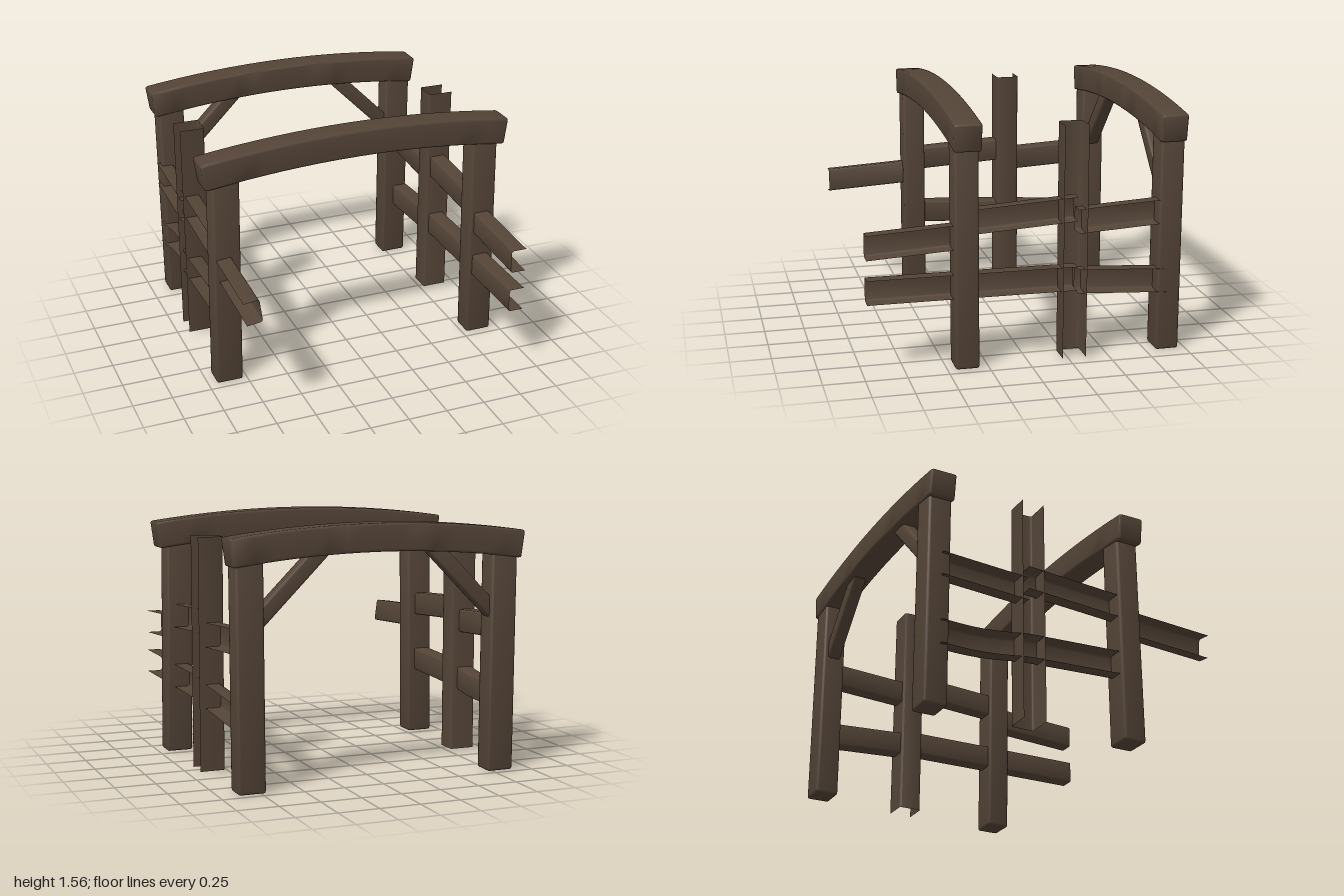
import * as THREE from 'three';
import { toCreasedNormals } from 'three/addons/utils/BufferGeometryUtils.js';

const wood = new THREE.MeshStandardMaterial({ color: 0x544437, side: THREE.DoubleSide });
wood.name = 'darkWood';

function addMesh(parent, name, geometry, crease = 1.0) {
  const mesh = new THREE.Mesh(toCreasedNormals(geometry, crease), wood);
  mesh.name = name;
  parent.add(mesh);
  return mesh;
}

// Squared timber with softened edges, centred, lying along z
function timber(w, h, length, steps = 1, b = 0.016) {
  const x = w / 2, y = h / 2, c = 0.016;
  const s = new THREE.Shape();
  s.moveTo(-x + c, -y);
  s.lineTo(x - c, -y);
  s.quadraticCurveTo(x, -y, x, -y + c);
  s.lineTo(x, y - c);
  s.quadraticCurveTo(x, y, x - c, y);
  s.lineTo(-x + c, y);
  s.quadraticCurveTo(-x, y, -x, y - c);
  s.lineTo(-x, -y + c);
  s.quadraticCurveTo(-x, -y, -x + c, -y);
  const g = new THREE.ExtrudeGeometry(s, {
    depth: length - 2 * b, steps, curveSegments: 3,
    bevelThickness: b, bevelSize: b * 0.7, bevelOffset: -b * 0.7, bevelSegments: 2,
  });
  return g.translate(0, 0, -length / 2 + b);
}

// Moves every vertex by a rule
function reshape(g, rule) {
  const p = g.attributes.position, v = new THREE.Vector3();
  for (let i = 0; i < p.count; i++) {
    rule(v.fromBufferAttribute(p, i));
    p.setXYZ(i, v.x, v.y, v.z);
  }
  return g;
}

// Open three-sided plank: one web and two flanges pointing along `out`
function channel(centres, out, across, width, depth) {
  const r = 0.012, w = width / 2;
  const profile = [[depth, w], [r, w], [r * 0.3, w - r * 0.3], [0, w - r],
    [0, -w + r], [r * 0.3, -w + r * 0.3], [r, -w], [depth, -w]];
  const rows = centres.map((c) => profile.map(([p, q]) => new THREE.Vector3(...c)
    .addScaledVector(out, p).addScaledVector(across, q)));
  const pos = [];
  for (let i = 0; i + 1 < rows.length; i++) {
    for (let j = 0; j + 1 < profile.length; j++) {
      const a = rows[i][j], b = rows[i][j + 1], c = rows[i + 1][j + 1], d = rows[i + 1][j];
      for (const v of [a, b, c, a, c, d]) pos.push(v.x, v.y, v.z);
    }
  }
  const g = new THREE.BufferGeometry();
  g.setAttribute('position', new THREE.Float32BufferAttribute(pos, 3));
  g.computeVertexNormals();
  return g;
}

// Two leaning posts carrying a bowed beam
function arch(name, { z, half, cx, top, sag, postX, lean, postTop }) {
  const group = new THREE.Group();
  group.name = name;
  const beam = timber(0.165, 0.168, half * 2, 16).rotateY(Math.PI / 2);
  reshape(beam, (v) => {
    const u = v.x, k = sag / (half * half), h = v.y;
    v.x = u + 2 * k * u * h + cx;
    v.y = top - 0.084 - k * u * u + h;
    v.z += z;
  });
  addMesh(group, 'bowedBeam', beam);
  for (const side of [1, -1]) {
    const post = timber(0.168, 0.145, postTop, 1).rotateX(-Math.PI / 2);
    reshape(post, (v) => {
      v.y += postTop / 2;
      v.x = side * (postX + lean * v.y) + v.x;
      v.z += z;
    });
    addMesh(group, side > 0 ? 'leftArchPost' : 'rightArchPost', post);
  }
  return group;
}

export function createModel() {
  const model = new THREE.Group();
  model.name = 'timberFrame';

  const front = arch('frontArch', {
    z: 0.38, half: 0.988, cx: 0, top: 1.56, sag: 0.07, postX: 0.862, lean: -0.011, postTop: 1.4,
  });
  const back = arch('backArch', {
    z: -0.885, half: 0.928, cx: -0.006, top: 1.54, sag: 0.066, postX: 0.804, lean: 0.007, postTop: 1.38,
  });
  model.add(front, back);

  // Diagonal braces under the back beam
  for (const side of [1, -1]) {
    const brace = addMesh(back, 'brace', timber(0.085, 0.095, 0.68).rotateY(Math.PI / 2));
    brace.rotation.z = -side * Math.PI / 4;
    brace.position.set(side * 0.565, 1.18, -0.885);
  }

  // Fences: rails given as name, start [z, y], end [z, y]
  const shared = [
    ['frontUpperRail', [0.965, 0.767], [0.36, 0.802]],
    ['middleUpperRail', [0.37, 0.882], [-0.305, 0.925]],
    ['rearUpperRail', [-0.31, 0.848], [-0.87, 0.88]],
  ];
  for (const side of [1, -1]) {
    const fence = new THREE.Group();
    fence.name = side > 0 ? 'leftFence' : 'rightFence';
    model.add(fence);

    const postX = side * 0.772;
    addMesh(fence, 'fencePost', channel([[postX, 0.01, -0.281], [postX, 1.44, -0.281]],
      new THREE.Vector3(side, 0, 0), new THREE.Vector3(0, 0, 1), 0.145, 0.158));

    const lower = side > 0
      ? [['frontLowerRail', [0.965, 0.497], [0.36, 0.497]],
        ['middleLowerRail', [0.37, 0.497], [-0.305, 0.495]],
        ['rearLowerRail', [-0.31, 0.477], [-0.87, 0.445]]]
      : [['middleLowerRail', [0.37, 0.506], [-0.305, 0.477]],
        ['rearLowerRail', [-0.31, 0.477], [-0.87, 0.445]]];

    for (const [name, [z0, y0], [z1, y1]] of [...shared, ...lower]) {
      // One rail is rolled over, another bows inward
      const roll = side < 0 && name === 'frontUpperRail' ? 0.13 : 0;
      const bow = side < 0 && name === 'rearLowerRail' ? 0.036 : 0;
      const inner = side > 0 ? 0.795 : 0.82;
      const centres = [];
      const n = bow ? 8 : 1;
      for (let i = 0; i <= n; i++) {
        const t = i / n;
        const x = inner - bow * Math.sin(Math.PI * t);
        centres.push([side * x, y0 + (y1 - y0) * t, z0 + (z1 - z0) * t]);
      }
      const out = new THREE.Vector3(side * Math.cos(roll), -Math.sin(roll), 0);
      const across = new THREE.Vector3(side * Math.sin(roll), Math.cos(roll), 0);
      addMesh(fence, name, channel(centres, out, across, 0.147, 0.097));
    }
  }
  return model;
}
